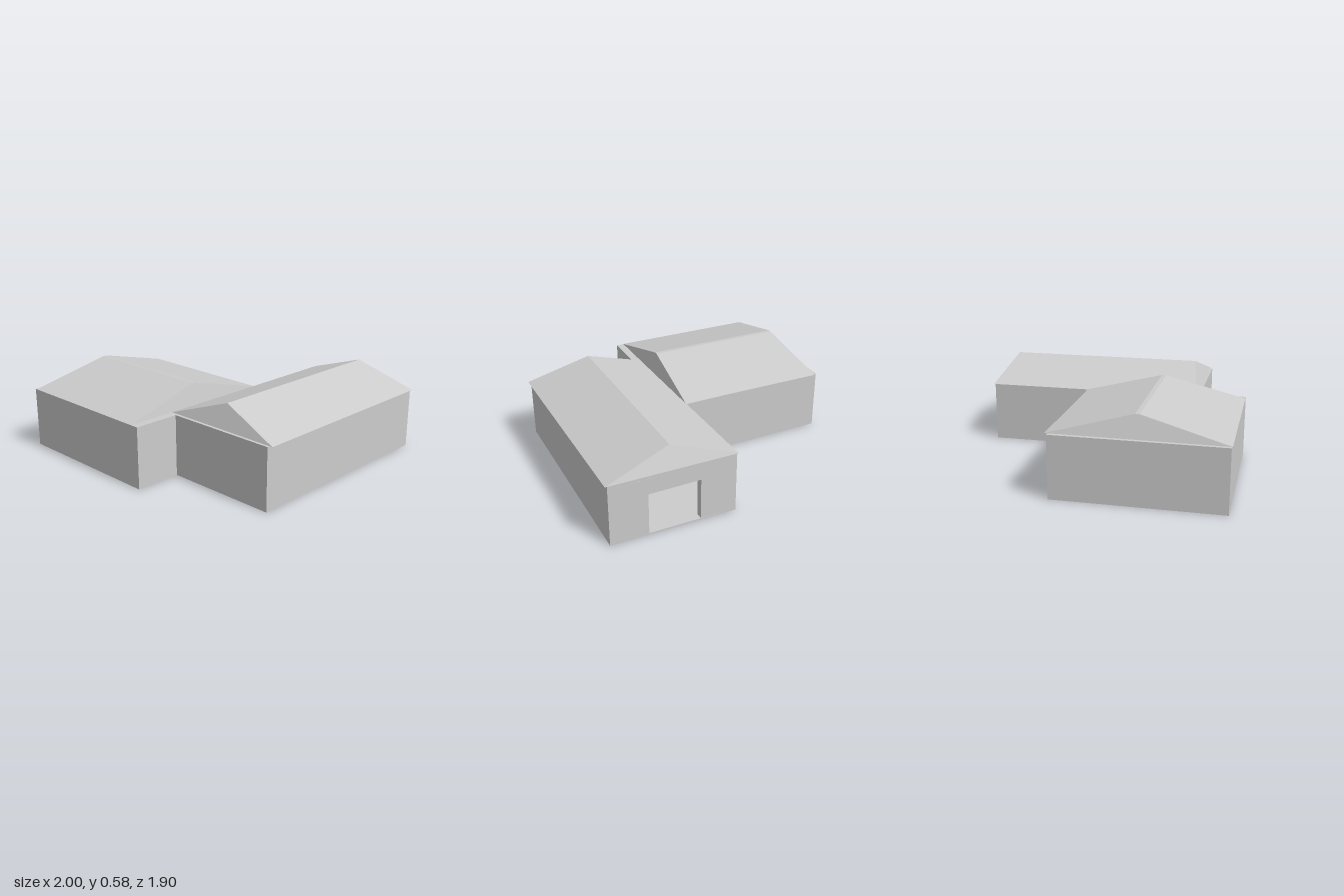
import * as THREE from 'three';
import { ConvexGeometry } from 'three/addons/geometries/ConvexGeometry.js';

const WALL_TOP = 0.43, FLOOR = 0.01, CEILING = 0.41, DOOR_TOP = 0.3, THICK = 0.05;
const DOOR = [0.36, 0.72];

// Plan corners [x, z, inward x sign, inward z sign], starting right of the doorway
const CORNERS = [
  [0.98, -0.935, -1, 1],
  [0.965, 0.625, -1, -1],
  [0.155, 0.615, -1, -1],
  [0.15, 0.945, -1, -1],
  [-1, 0.93, 1, -1],
  [-0.99, -0.21, 1, 1],
  [0.105, -0.22, 1, 1],
  [0.11, -0.945, 1, 1],
];

export function createModel() {
  const group = new THREE.Group();
  const material = new THREE.MeshStandardMaterial({ color: 0xcccccc, flatShading: true });

  const add = (name, geometry) => {
    const mesh = new THREE.Mesh(geometry, material);
    mesh.name = name;
    group.add(mesh);
  };

  // Raise a floor plan of [x, z] points from y0 to y1
  const prism = (name, plan, y0, y1) => {
    const shape = new THREE.Shape(plan.map(([x, z]) => new THREE.Vector2(x, z)));
    const geometry = new THREE.ExtrudeGeometry(shape, { depth: y1 - y0, bevelEnabled: false });
    geometry.rotateX(Math.PI / 2).translate(0, y1, 0);
    add(name, geometry);
  };

  const outer = CORNERS.map(([x, z]) => [x, z]);
  const inner = CORNERS.map(([x, z, sx, sz]) => [x + sx * THICK, z + sz * THICK]);

  // Both doorway jambs, on the outer and inner faces of the back wall
  const [left, right] = DOOR;
  const zOut = -0.94, zIn = zOut + THICK;

  // Floor, ceiling, and a wall ring broken by the doorway
  prism('floor', outer, 0, FLOOR);
  prism('ceiling', outer, CEILING, WALL_TOP);
  prism('walls', [
    [right, zOut], ...outer, [left, zOut],
    [left, zIn], ...inner.reverse(), [right, zIn],
  ], FLOOR, CEILING);
  prism('doorLintel', [[left, zOut], [right, zOut], [right, zIn], [left, zIn]], DOOR_TOP, CEILING);

  // Hipped roofs: four eave corners and the points of the ridge
  const roof = (name, eaves, ridge, ridgeY) => {
    const at = (y) => ([x, z]) => new THREE.Vector3(x, y, z);
    add(name, new ConvexGeometry([...eaves.map(at(WALL_TOP + 0.002)), ...ridge.map(at(ridgeY))]));
  };

  roof('sideWingRoof',
    [[-0.965, -0.23], [0.105, -0.215], [0.095, 0.945], [-0.98, 0.935]],
    [[-0.92, 0.335], [0.07, 0.345], [0.07, 0.375], [-0.92, 0.365]], 0.58);
  roof('mainWingRoof',
    [[0.105, -0.955], [0.995, -0.94], [0.99, 0.61], [0.1, 0.595]],
    [[0.555, -0.895], [0.545, 0.53]], 0.585);

  return group;
}
